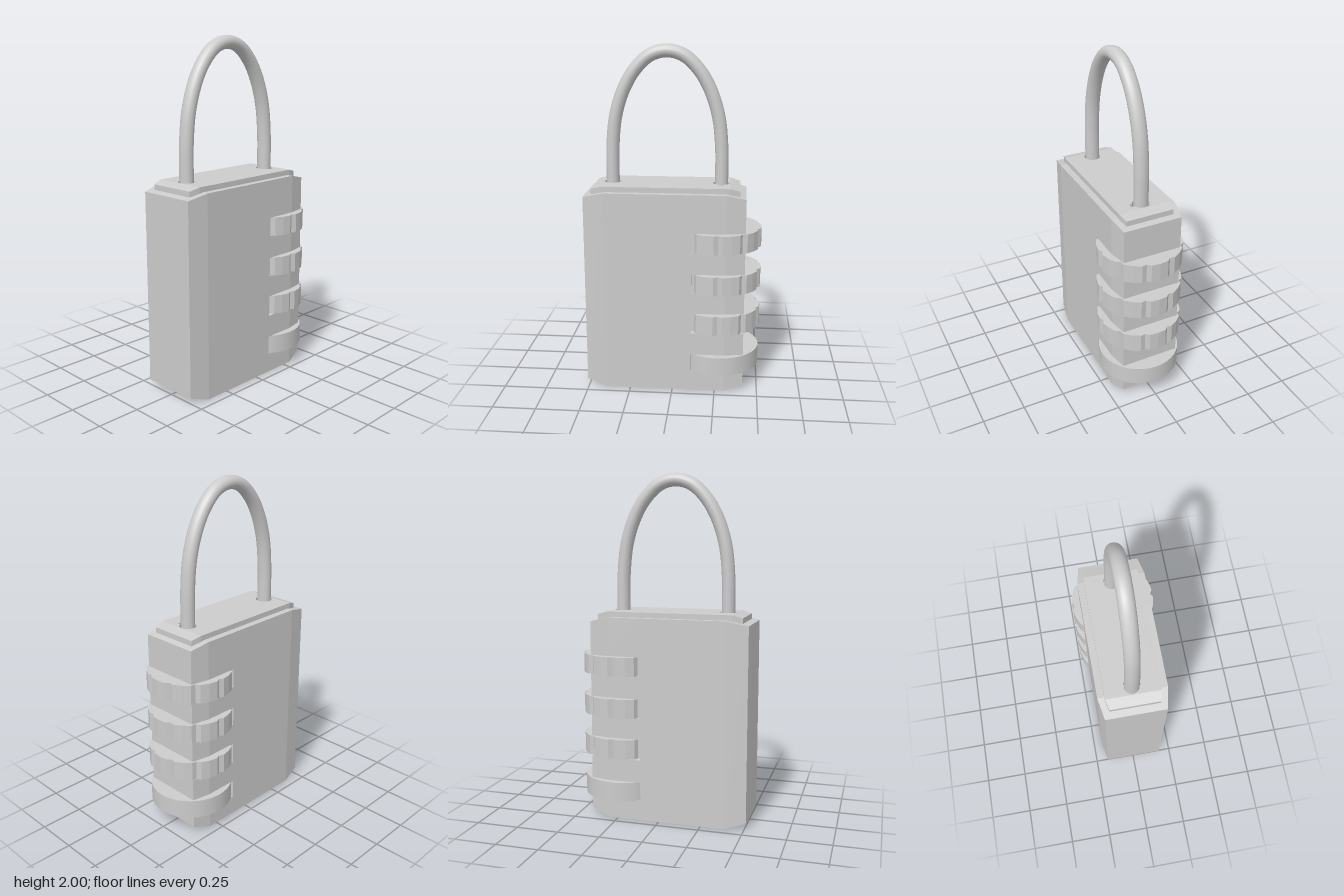
import * as THREE from 'three';

const GREY = new THREE.MeshStandardMaterial({ color: 0xcccccc });

function add(parent, geometry, name) {
  const mesh = new THREE.Mesh(geometry, GREY);
  mesh.name = name;
  parent.add(mesh);
  return mesh;
}

// Flat-sided solid through rectangular sections along x: [x, halfDepth, bottom, top]
function loft(stations) {
  const pos = [], idx = [];
  for (const [x, h, b, t] of stations) pos.push(x, b, -h, x, b, h, x, t, h, x, t, -h);
  for (let i = 0; i < stations.length - 1; i++) {
    for (let k = 0; k < 4; k++) {
      const a = i * 4 + k, b = i * 4 + (k + 1) % 4;
      idx.push(a, a + 4, b + 4, a, b + 4, b);
    }
  }
  const e = (stations.length - 1) * 4;
  idx.push(0, 1, 2, 0, 2, 3, e, e + 2, e + 1, e, e + 3, e + 2);
  const g = new THREE.BufferGeometry();
  g.setAttribute('position', new THREE.Float32BufferAttribute(pos, 3));
  g.setIndex(idx);
  const flat = g.toNonIndexed();
  flat.computeVertexNormals();
  return flat;
}

// Upright prism: plan shape (x, -z) raised from y0 to y1
function prism(shape, y0, y1) {
  const g = new THREE.ExtrudeGeometry(shape, { depth: y1 - y0, bevelEnabled: false, curveSegments: 24 });
  return g.rotateX(-Math.PI / 2).translate(0, y0, 0);
}

// Ten-sided dial outline with a V notch between lobes
function dialShape(cx) {
  const pts = [], rad = Math.PI / 180;
  for (let i = 0; i < 10; i++) {
    const a = 18 + i * 36;
    for (const [d, r] of [[0, 0.231], [6, 0.246], [18, 0.246], [30, 0.246]]) {
      pts.push(new THREE.Vector2(cx + r * Math.cos((a + d) * rad), r * Math.sin((a + d) * rad)));
    }
  }
  return new THREE.Shape(pts);
}

export function createModel() {
  const lock = new THREE.Group();
  lock.name = 'combinationPadlock';

  // Case: solid left block, and slabs between the dial slots on the right
  const body = new THREE.Group();
  body.name = 'case';
  lock.add(body);
  add(body, loft([[-0.51, 0.175, 0.037, 1.16], [-0.39, 0.197, 0, 1.187], [0.11, 0.197, 0, 1.187]]), 'caseBlock');
  const slabs = [[0, 0.116], [0.226, 0.36], [0.483, 0.611], [0.721, 0.855], [0.964, 1.187]];
  slabs.forEach(([b, t], i) => {
    const endB = i === 0 ? 0.04 : b, endT = i === 4 ? 1.16 : t;
    add(body, loft([[0.11, 0.197, b, t], [0.305, 0.197, b, t], [0.415, 0.175, endB, endT]]), 'caseSlab');
  });

  // Notched number dials and the plain wheel at the bottom
  const cx = 0.262;
  for (const [b, t] of [[0.37, 0.484], [0.61, 0.722], [0.854, 0.965]]) {
    add(lock, prism(dialShape(cx), b, t), 'numberDial');
  }
  add(lock, new THREE.CylinderGeometry(0.24, 0.24, 0.112, 40).translate(0.265, 0.171, 0), 'plainWheel');

  // Top plate: flat middle with shackle holes, sloping ends
  const plate = new THREE.Group();
  plate.name = 'topPlate';
  lock.add(plate);
  const x0 = -0.412, x1 = 0.322, h = 0.158, top = 1.217;
  const mid = new THREE.Shape();
  mid.moveTo(x0, -h).lineTo(x1, -h).lineTo(x1, h).lineTo(x0, h).closePath();
  const leftHole = new THREE.Path().absarc(-0.36, 0, 0.048, 0, Math.PI * 2);
  const rightHole = new THREE.Path();
  rightHole.absarc(0.27, 0, 0.048, -70 * Math.PI / 180, 250 * Math.PI / 180);
  rightHole.lineTo(0.253, -0.066).lineTo(0.287, -0.066).closePath();
  mid.holes.push(leftHole, rightHole);
  add(plate, prism(mid, 1.18, top), 'plateMiddle');
  add(plate, loft([[-0.47, 0.143, 1.16, 1.2], [x0, h, 1.16, top]]), 'plateEnd');
  add(plate, loft([[x1, h, 1.16, top], [0.38, 0.143, 1.16, 1.2]]), 'plateEnd');

  // Shackle: half the arch, mirrored about its centre line
  const mx = -0.045;
  const half = [[0.315, 1.12], [0.315, 1.26], [0.313, 1.42], [0.293, 1.6], [0.245, 1.75], [0.18, 1.86], [0.095, 1.938]];
  const path = [
    ...half.map(([d, y]) => new THREE.Vector3(mx - d, y, 0)),
    new THREE.Vector3(mx, 1.963, 0),
    ...half.slice().reverse().map(([d, y]) => new THREE.Vector3(mx + d, y, 0)),
  ];
  const tube = new THREE.TubeGeometry(new THREE.CatmullRomCurve3(path), 80, 0.038, 20);
  add(lock, tube.scale(1, 1, 1.13), 'shackle');

  return lock;
}
